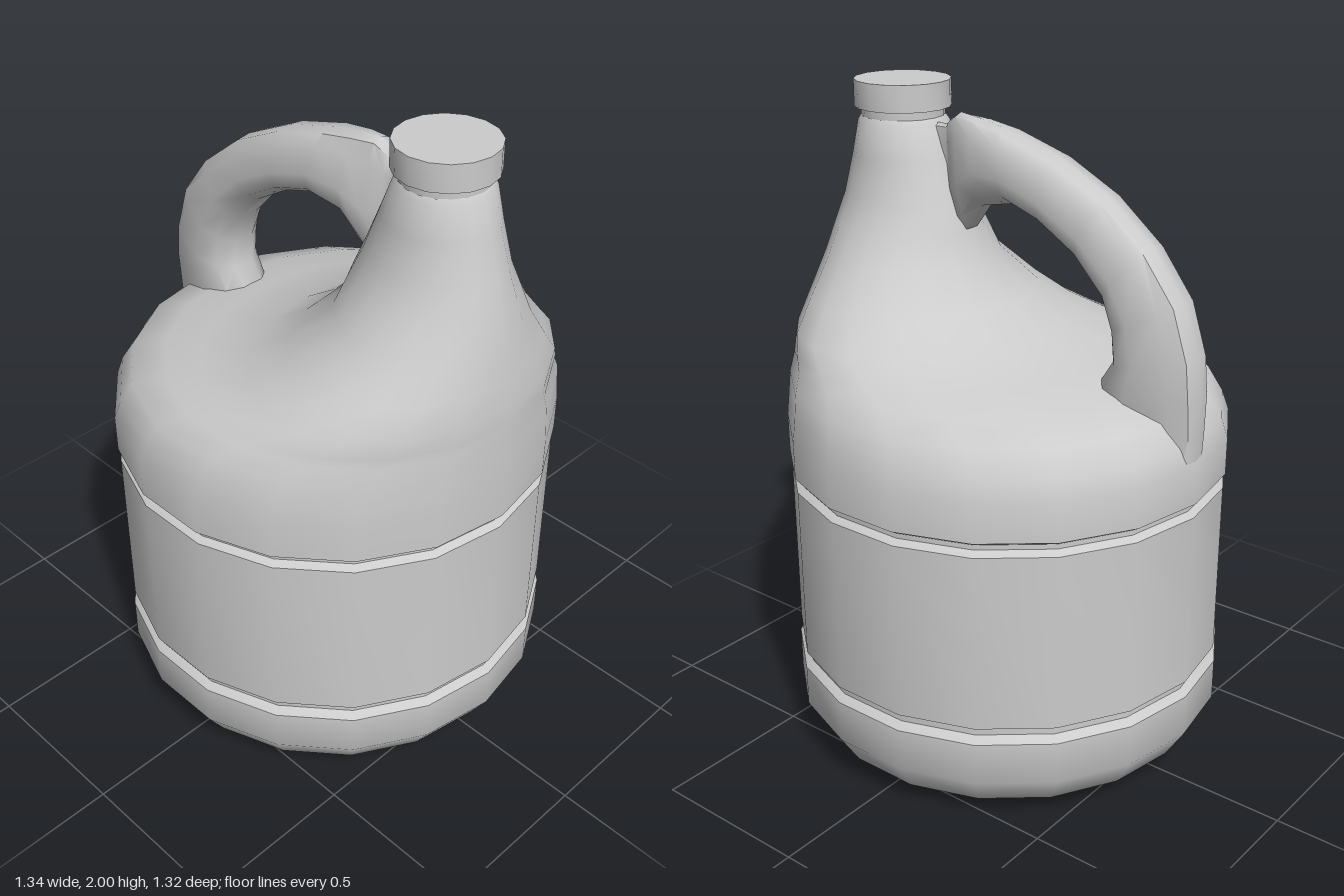
import * as THREE from 'three';
import { toCreasedNormals } from 'three/addons/utils/BufferGeometryUtils.js';

const SIDES = 18;
const material = new THREE.MeshStandardMaterial({ color: 0xcccccc });

function addMesh(group, name, geometry, crease) {
  const mesh = new THREE.Mesh(toCreasedNormals(geometry, crease), material);
  mesh.name = name;
  group.add(mesh);
  return mesh;
}

// Skin a list of closed rings that all have the same number of points
function loft(rings) {
  const n = rings[0].length;
  const index = [];
  for (let r = 0; r < rings.length - 1; r++) {
    for (let i = 0; i < n; i++) {
      const a = r * n + i, b = r * n + (i + 1) % n;
      index.push(a, b, b + n, a, b + n, a + n);
    }
  }
  const geometry = new THREE.BufferGeometry();
  geometry.setAttribute('position', new THREE.Float32BufferAttribute(rings.flat(2), 3));
  geometry.setIndex(index);
  return geometry;
}

function lathe(profile, sides) {
  const points = profile.map(([r, y]) => new THREE.Vector2(r, y));
  return new THREE.LatheGeometry(points, sides, Math.PI / 2);
}

export function createModel() {
  const jug = new THREE.Group();
  jug.name = 'jug';

  // Lower body: recessed base, rounded foot, label band between two grooves
  addMesh(jug, 'lowerBody', lathe([
    [0, 0.03], [0.29, 0.03], [0.33, 0], [0.5, 0], [0.61, 0.065], [0.67, 0.16],
    [0.67, 0.29], [0.648, 0.31], [0.648, 0.335], [0.665, 0.34],
    [0.665, 0.88], [0.645, 0.895], [0.645, 0.91], [0.67, 0.925],
  ], SIDES), 0.72);

  // Shoulder sweeping into the offset neck: [y, left x, right x, half depth]
  const shoulder = [
    [0.925, -0.67, 0.67, 0.66], [1.04, -0.67, 0.67, 0.66], [1.1, -0.65, 0.67, 0.642],
    [1.17, -0.6, 0.668, 0.62], [1.22, -0.47, 0.667, 0.565], [1.25, -0.32, 0.665, 0.53],
    [1.3, -0.12, 0.663, 0.475], [1.38, 0, 0.65, 0.385], [1.49, 0.11, 0.635, 0.27],
    [1.58, 0.14, 0.615, 0.218], [1.66, 0.17, 0.595, 0.172], [1.78, 0.22, 0.56, 0.15],
    [1.88, 0.262, 0.535, 0.134], [1.895, 0.275, 0.525, 0.125],
  ];
  addMesh(jug, 'shoulder', loft(shoulder.map(([y, left, right, depth]) =>
    Array.from({ length: SIDES }, (_, i) => {
      const a = (i / SIDES) * Math.PI * 2;
      return [
        (left + right) / 2 + ((right - left) / 2) * Math.cos(a),
        y,
        -(depth / 0.985) * Math.sin(a),
      ];
    }))), 1.0);

  // Handle sections: [outer x, outer y, inner x, inner y, half width],
  // ending in a thin web that runs into the neck
  const handle = [
    [-0.66, 0.96, -0.5, 0.96, 0.07], [-0.668, 1.13, -0.38, 1.1, 0.085],
    [-0.667, 1.24, -0.35, 1.22, 0.1], [-0.655, 1.35, -0.4, 1.3, 0.1],
    [-0.605, 1.5, -0.395, 1.39, 0.1], [-0.5, 1.635, -0.37, 1.48, 0.1],
    [-0.35, 1.755, -0.28, 1.58, 0.1], [-0.18, 1.84, -0.16, 1.655, 0.1],
    [0, 1.895, -0.04, 1.695, 0.095], [0.1, 1.915, 0.08, 1.67, 0.08],
    [0.175, 1.925, 0.135, 1.59, 0.058], [0.213, 1.9, 0.18, 1.58, 0.035],
    [0.225, 1.885, 0.21, 1.58, 0.018], [0.3, 1.885, 0.28, 1.6, 0.03],
  ];
  // Half outline from the outer ridge to the inner edge: [position, width factor]
  const half = [[0.03, 0.5], [0.2, 0.72], [0.6, 1], [0.87, 0.8]];
  const outline = [
    [0, 0], ...half, [1, 0.35], [1, -0.35],
    ...half.map(([t, w]) => [t, -w]).reverse(),
  ];
  addMesh(jug, 'handle', loft(handle.map(([ox, oy, ix, iy, width]) =>
    outline.map(([t, w]) => [ox + (ix - ox) * t, oy + (iy - oy) * t, w * width]))), 0.9);

  // Neck ring and screw cap
  const neck = addMesh(jug, 'neckRing', lathe([[0.125, 1.88], [0.125, 1.93]], 16), 0.6);
  const cap = addMesh(jug, 'cap', lathe([[0, 1.92], [0.145, 1.92], [0.145, 2], [0, 2]], 16), 0.6);
  neck.position.x = cap.position.x = 0.4;

  return jug;
}
